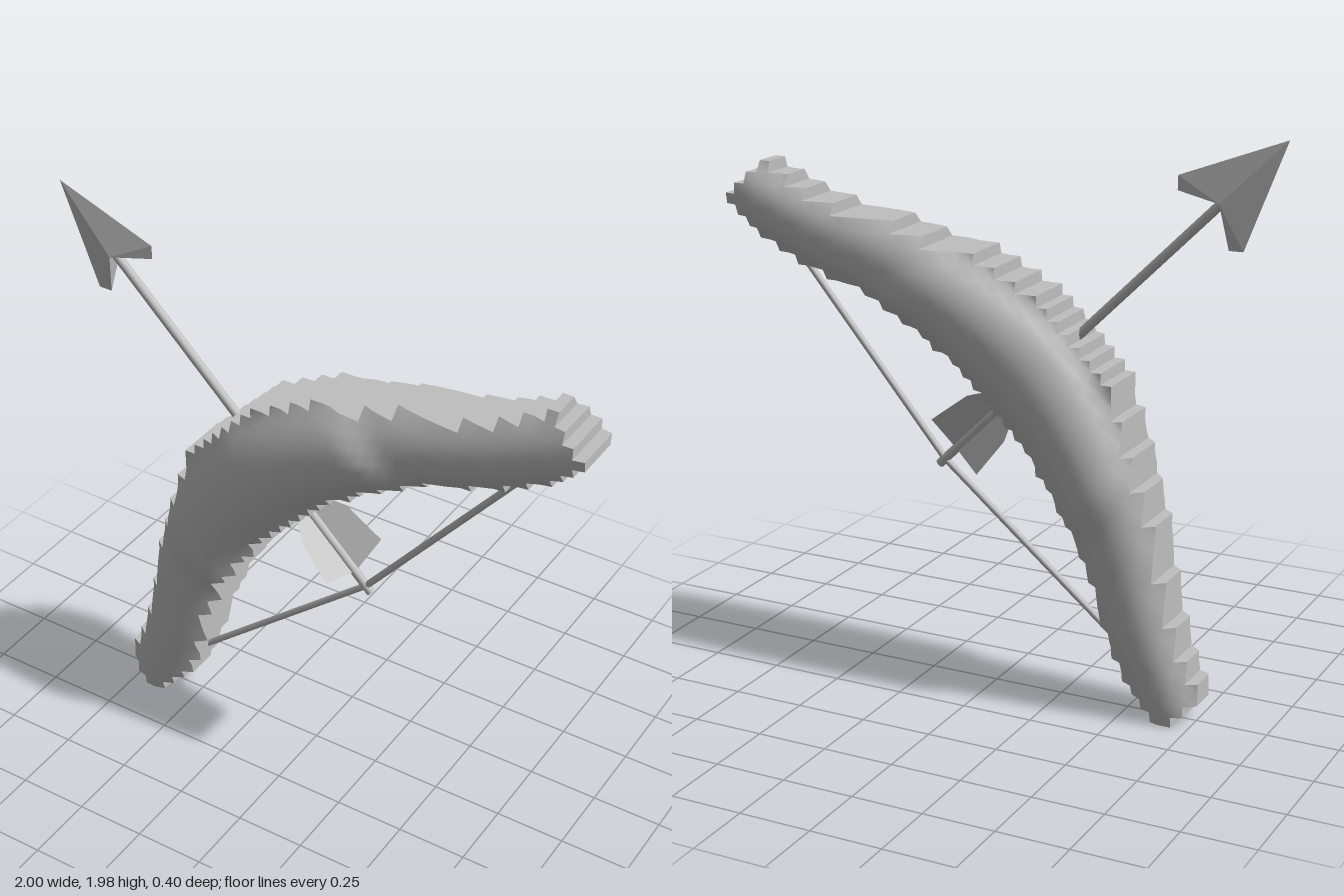
import * as THREE from 'three';

const CELL = 1.77 / 46;
const X0 = -0.77;
// First and last column of every row of the stepped bow outline, bottom to top
const START = [2, 1, 0, 0, 1, 1, 2, 2, 2, 3, 3, 3, 3, 4, 4, 4, 4, 4, 5, 5, 5, 6, 6, 6, 7, 7, 7, 8, 8, 8,
  9, 10, 11, 12, 13, 14, 15, 17, 19, 21, 26, 29, 35, 38, 40, 42];
const END = [4, 5, 6, 7, 7, 8, 8, 8, 9, 9, 9, 9, 10, 10, 11, 11, 11, 12, 13, 13, 14, 15, 15, 16, 17, 18, 19, 20, 21, 22,
  23, 25, 26, 28, 30, 32, 36, 39, 41, 43, 44, 45, 46, 45, 44, 43];

// Centreline of the bow, used to round its faces
const spine = new THREE.CatmullRomCurve3([
  [-0.68, 0.03], [-0.56, 0.33], [-0.46, 0.67], [-0.346, 0.92], [-0.17, 1.16],
  [0.08, 1.346], [0.33, 1.46], [0.67, 1.56], [0.96, 1.67],
].map(([x, y]) => new THREE.Vector3(x, y, 0))).getPoints(160);

// Half depth: thick grip, a shoulder, then tapering limbs
function halfDepth(x, y) {
  const p = new THREE.Vector3(x, y, 0);
  const d = Math.min(...spine.map((s) => s.distanceTo(p)));
  const t = Math.abs(x + y - 1);
  const grip = 0.2 - 0.03 * t * t;
  const limb = 0.155 - 0.063 * (t - 0.75);
  const depth = THREE.MathUtils.lerp(grip, limb, THREE.MathUtils.smoothstep(t, 0.66, 0.78));
  const u = Math.min(d / (0.19 - 0.05 * t), 1);
  return depth * Math.sqrt(1 - 0.75 * u * u);
}

function geometry(positions, index) {
  const g = new THREE.BufferGeometry();
  g.setAttribute('position', new THREE.Float32BufferAttribute(positions, 3));
  if (index) g.setIndex(index);
  g.computeVertexNormals();
  return g;
}

function mesh(name, geo, material) {
  const m = new THREE.Mesh(geo, material);
  m.name = name;
  return m;
}

// Rounded front and back faces, and the stepped rim between them
function makeBow(material) {
  const bow = new THREE.Group();
  bow.name = 'bow';
  const inside = (c, r) => r >= 0 && r < 46 && c >= START[r] && c < END[r];
  const depths = new Map();
  const corner = (c, r, side) => {
    const x = X0 + c * CELL, y = r * CELL, key = c + r * 50;
    if (!depths.has(key)) depths.set(key, halfDepth(x, y));
    return [x, y, side * depths.get(key)];
  };

  for (const side of [1, -1]) {
    const pos = [], index = [], ids = new Map();
    const id = (c, r) => {
      const key = c + r * 50;
      if (!ids.has(key)) {
        ids.set(key, pos.length / 3);
        pos.push(...corner(c, r, side));
      }
      return ids.get(key);
    };
    for (let r = 0; r < 46; r++) {
      for (let c = START[r]; c < END[r]; c++) {
        const a = id(c, r), b = id(c + 1, r), d = id(c + 1, r + 1), e = id(c, r + 1);
        index.push(...(side > 0 ? [a, b, d, a, d, e] : [a, d, b, a, e, d]));
      }
    }
    bow.add(mesh(side > 0 ? 'bowFront' : 'bowBack', geometry(pos, index), material));
  }

  const rim = [];
  const wall = (c1, r1, c2, r2) => {
    const a = corner(c1, r1, 1), b = corner(c2, r2, 1), d = corner(c2, r2, -1), e = corner(c1, r1, -1);
    rim.push(...a, ...e, ...d, ...a, ...d, ...b);
  };
  for (let r = 0; r < 46; r++) {
    for (let c = START[r]; c < END[r]; c++) {
      if (!inside(c, r - 1)) wall(c, r, c + 1, r);
      if (!inside(c + 1, r)) wall(c + 1, r, c + 1, r + 1);
      if (!inside(c, r + 1)) wall(c + 1, r + 1, c, r + 1);
      if (!inside(c - 1, r)) wall(c, r + 1, c, r);
    }
  }
  bow.add(mesh('bowRim', geometry(rim), material));
  return bow;
}

// Thin rod between two points
function rod(name, a, b, radius, material) {
  const from = new THREE.Vector3(...a), to = new THREE.Vector3(...b);
  const dir = to.clone().sub(from);
  const m = mesh(name, new THREE.CylinderGeometry(radius, radius, dir.length(), 8), material);
  m.position.copy(from).add(to).multiplyScalar(0.5);
  m.quaternion.setFromUnitVectors(new THREE.Vector3(0, 1, 0), dir.normalize());
  return m;
}

// Arrow built along +x from its tip, then tilted
function makeArrow(material) {
  const arrow = new THREE.Group();
  arrow.name = 'arrow';
  const length = 1.725;
  arrow.add(rod('shaft', [0.28, 0, 0], [length, 0, 0], 0.016, material));

  // Barbed head: two mirrored wings with a raised ridge on each face
  const head = [];
  for (const w of [1, -1]) {
    const tip = [0, 0, 0], outer = [0.355, w * 0.159, 0], barb = [0.39, w * 0.125, 0];
    const add = (a, b, c, flip) => head.push(...a, ...(flip ? c : b), ...(flip ? b : c));
    for (const s of [1, -1]) {
      const ridge = [0.3, 0, s * 0.032];
      add(tip, ridge, outer, w * s < 0);
      add(outer, ridge, barb, w * s < 0);
    }
    add(barb, [0.3, 0, 0.032], [0.3, 0, -0.032], w > 0);
  }
  arrow.add(mesh('arrowhead', geometry(head), material));

  // Three vanes around the tail
  const vane = new THREE.Shape([
    [-0.09, 0], [-0.13, 0.14], [-0.29, 0.115], [-0.38, 0.055], [-0.39, 0],
  ].map(([x, y]) => new THREE.Vector2(length + x, y)));
  const vaneGeo = new THREE.ShapeGeometry(vane);
  for (let i = 0; i < 3; i++) {
    const m = mesh('vane', vaneGeo, material);
    m.rotation.x = Math.PI / 2 + i * Math.PI * 2 / 3;
    arrow.add(m);
  }

  arrow.position.set(-1, 1.983, 0);
  arrow.rotation.z = -Math.PI / 4;
  return arrow;
}

export function createModel() {
  const model = new THREE.Group();
  model.name = 'bowAndArrow';
  const grey = new THREE.MeshStandardMaterial({ color: 0xbfbfbf, side: THREE.DoubleSide });
  grey.name = 'plain grey';

  model.add(makeBow(grey), makeArrow(grey));

  // Drawn string, nocked at the arrow's tail
  const nock = [0.2, 0.785, 0];
  model.add(rod('lowerString', [-0.48, 0.22, 0], nock, 0.012, grey));
  model.add(rod('upperString', nock, [0.78, 1.475, 0], 0.012, grey));
  return model;
}
